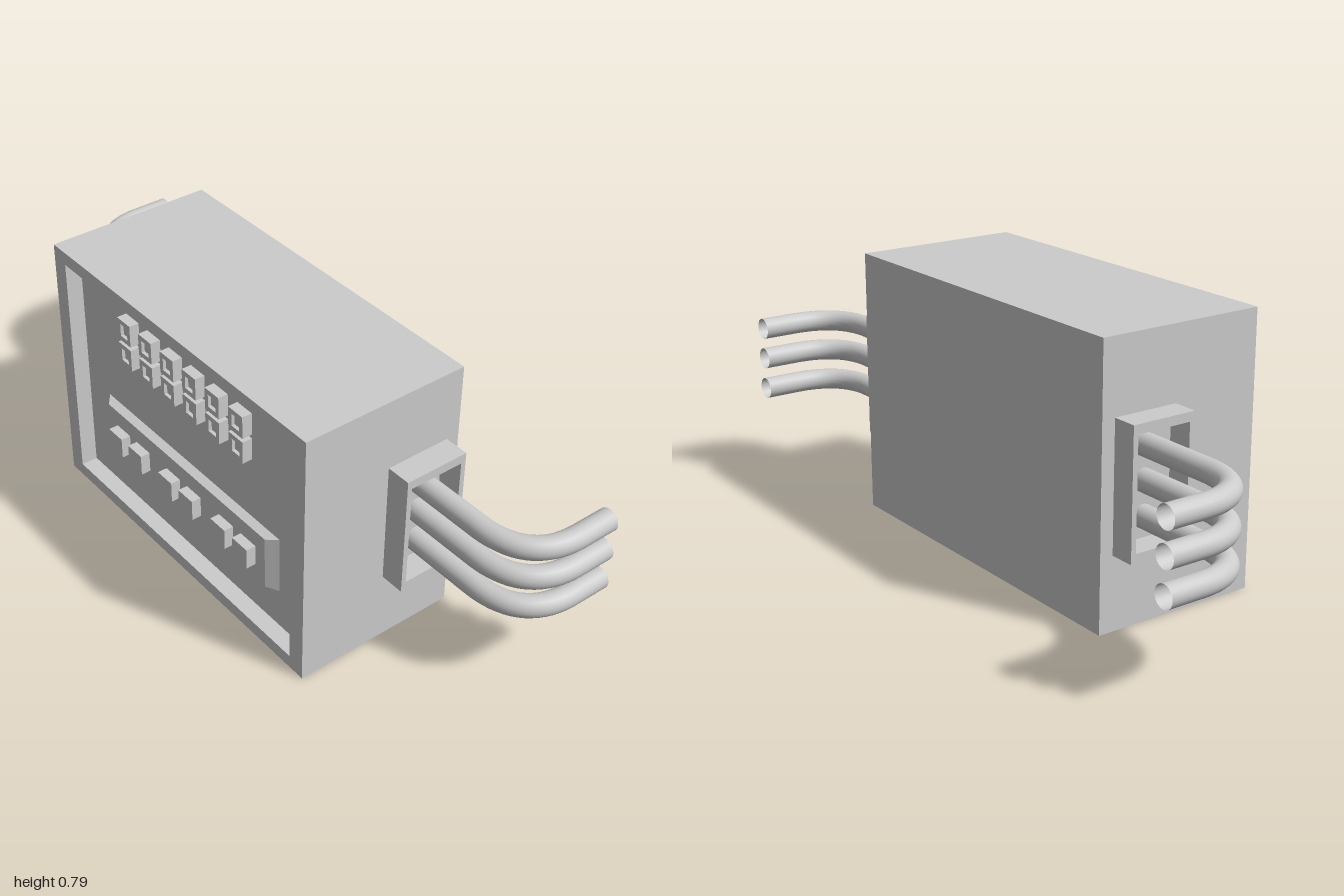
import * as THREE from 'three';

const grey = new THREE.MeshStandardMaterial({ color: 0xcccccc });
const greyDouble = new THREE.MeshStandardMaterial({ color: 0xcccccc, side: THREE.DoubleSide });

function add(parent, name, geometry, x, y, z, material = grey) {
  const mesh = new THREE.Mesh(geometry, material);
  mesh.name = name;
  mesh.position.set(x, y, z);
  parent.add(mesh);
  return mesh;
}

// Rectangular ring, extruded from z = 0 to z = depth
function ringGeometry(w, h, holeW, holeH, depth) {
  const rect = (Type, a, b) => new Type([
    new THREE.Vector2(-a / 2, -b / 2), new THREE.Vector2(a / 2, -b / 2),
    new THREE.Vector2(a / 2, b / 2), new THREE.Vector2(-a / 2, b / 2),
  ]);
  const shape = rect(THREE.Shape, w, h);
  shape.holes.push(rect(THREE.Path, holeW, holeH));
  return new THREE.ExtrudeGeometry(shape, { depth, bevelEnabled: false });
}

// Box whose front face is narrowed by insetX and insetY on each side
function taperedBox(w, h, d, insetX, insetY) {
  const geometry = new THREE.BoxGeometry(w, h, d);
  const p = geometry.attributes.position;
  for (let i = 0; i < p.count; i++) {
    if (p.getZ(i) > 0) {
      p.setX(i, p.getX(i) - Math.sign(p.getX(i)) * insetX);
      p.setY(i, p.getY(i) - Math.sign(p.getY(i)) * insetY);
    }
  }
  geometry.computeVertexNormals();
  return geometry;
}

export function createModel() {
  const model = new THREE.Group();
  model.name = 'controlBox';
  const back = -0.185, front = 0.32, panelZ = 0.27;

  // Housing with a recessed front panel
  add(model, 'housing', new THREE.BoxGeometry(1.124, 0.79, panelZ - back), 0, 0.395, (panelZ + back) / 2);
  add(model, 'frontRim', ringGeometry(1.124, 0.79, 1.016, 0.71, front - panelZ), 0, 0.395, panelZ);

  // Raised button strip with three pairs of square buttons
  add(model, 'buttonStrip', taperedBox(0.8, 0.18, 0.025, 0.031, 0.007), 0, 0.255, panelZ + 0.0125);
  for (const pair of [-0.247, 0, 0.247]) {
    for (const side of [-1, 1]) {
      add(model, 'squareButton', new THREE.BoxGeometry(0.064, 0.064, 0.03), pair + side * 0.049, 0.255, 0.309);
    }
  }

  // Two rows of small sockets
  const socket = ringGeometry(0.06, 0.068, 0.032, 0.038, 0.03);
  const socketFloor = new THREE.BoxGeometry(0.032, 0.038, 0.02);
  for (const y of [0.573, 0.653]) {
    for (let i = 0; i < 6; i++) {
      const x = (i - 2.5) * 0.1015;
      add(model, 'socket', socket, x, y, panelZ);
      add(model, 'socketFloor', socketFloor, x, y, panelZ + 0.01);
    }
  }

  // Cable ports and cables on both sides
  for (const side of [1, -1]) {
    const port = add(model, side > 0 ? 'leftPort' : 'rightPort',
      ringGeometry(0.196, 0.368, 0.166, 0.315, 0.075), side * 0.56, 0.396, -0.047);
    port.rotation.y = side * Math.PI / 2;

    const path = new THREE.CurvePath();
    const v = (x, z) => new THREE.Vector3(side * x, 0, z);
    path.add(new THREE.LineCurve3(v(0.55, -0.05), v(0.79, -0.05)));
    path.add(new THREE.CubicBezierCurve3(v(0.79, -0.05), v(0.91, -0.05), v(0.968, -0.11), v(0.968, -0.22)));
    path.add(new THREE.LineCurve3(v(0.968, -0.22), v(0.968, -0.325)));
    const cable = new THREE.TubeGeometry(path, 40, 0.032, 20, false);
    for (const y of [0.299, 0.397, 0.493]) {
      add(model, side > 0 ? 'leftCable' : 'rightCable', cable, 0, y, 0, greyDouble);
    }
  }
  return model;
}
